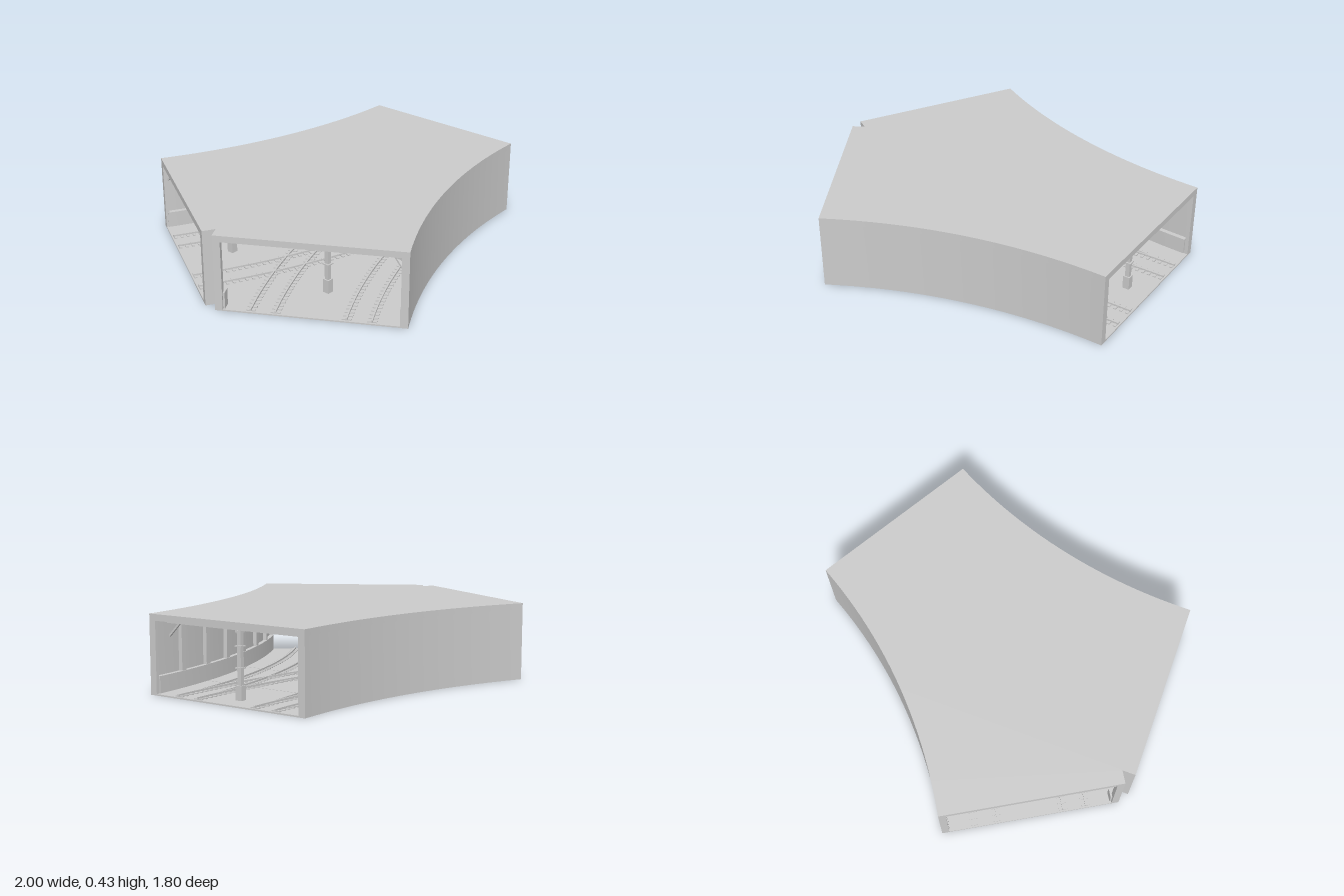
import * as THREE from 'three';
import { mergeGeometries, toCreasedNormals } from 'three/addons/utils/BufferGeometryUtils.js';

const H = 0.43, CEIL = 0.395, FLOOR = 0.008;
const END = Math.PI / 6;                  // each branch bends through 30 degrees
const APEX = Math.acos(3.5 / 4);          // where the two outer walls meet
const mat = new THREE.MeshStandardMaterial({ color: 0xcccccc });

// plan point on an arc of radius r around the branch centre; s picks the branch
const P = (r, a, s) => [1 - r * Math.sin(a), s * (3.5 - r * Math.cos(a))];
function arc(r, a0, a1, s, n = 32) {
  const pts = [];
  for (let i = 0; i <= n; i++) pts.push(P(r, a0 + (a1 - a0) * i / n, s));
  return pts;
}

// plan outline raised from y0 to y1
function slab(pts, y0, y1) {
  const shape = new THREE.Shape(pts.map(p => new THREE.Vector2(p[0], p[1])));
  const g = new THREE.ExtrudeGeometry(shape, { depth: y1 - y0, bevelEnabled: false });
  g.rotateX(Math.PI / 2).translate(0, y1, 0);
  return toCreasedNormals(g, 0.4);
}
const band = (r0, r1, a0, a1, s, y0, y1, n) =>
  slab([...arc(r0, a0, a1, s, n), ...arc(r1, a1, a0, s, n)], y0, y1);

function box(w, h, d, x, y, z, turn = 0) {
  return new THREE.BoxGeometry(w, h, d).rotateY(turn).translate(x, y, z);
}

export function createModel() {
  const model = new THREE.Group();
  const add = (name, geos) => {
    const list = [].concat(geos).map(g => (g.index ? g.toNonIndexed() : g));
    const mesh = new THREE.Mesh(mergeGeometries(list), mat);
    mesh.name = name;
    model.add(mesh);
  };

  // roof over the whole junction
  add('roof', slab([
    ...arc(3, 0, END, 1), ...arc(4, END, APEX, 1, 3),
    ...arc(4, APEX, END, -1, 3), ...arc(3, END, 0, -1)], CEIL, H));

  // floor in three sections with narrow joints
  const halfWidth = x => x >= -0.5
    ? 3.5 - Math.sqrt(9 - (1 - x) ** 2)
    : 0.036 + (x + 1) * Math.sqrt(3);
  const floorPiece = (x0, x1, notch) => {
    const edge = [];
    for (let i = 0; i <= 24; i++) {
      const x = x1 + (x0 - x1) * i / 24;
      edge.push([x, halfWidth(x)]);
    }
    const back = edge.map(p => [p[0], -p[1]]).reverse();
    return slab([...edge, ...(notch ? [[-0.936, 0]] : []), ...back], 0, FLOOR);
  };
  add('floor', [floorPiece(0.563, 1), floorPiece(0.103, 0.557), floorPiece(-1, 0.097, true)]);

  const walls = [], plinths = [], pilasters = [], frames = [], rails = [], chairs = [];
  for (const s of [1, -1]) {
    // curved side wall with plinth, pilasters and portal jambs
    walls.push(band(3, 3.018, 0, END, s, 0, CEIL + 0.002));
    plinths.push(band(3.016, 3.044, 0.008, END - 0.004, s, 0, 0.1));
    for (let i = 1; i < 7; i++) {
      const a = END * i / 7;
      pilasters.push(band(3.016, 3.04, a - 0.006, a + 0.006, s, 0.1, CEIL, 1));
    }
    for (const a of [0, END - 0.007])
      frames.push(band(3.0, 3.04, a, a + 0.007, s, 0, CEIL, 1));

    // short outer wall beside the notch, with its jamb and base block
    walls.push(band(3.99, 4, APEX - 0.002, END, s, 0, CEIL + 0.002, 3));
    frames.push(band(3.96, 4, END - 0.008, END, s, 0, CEIL, 1));
    plinths.push(band(3.95, 3.995, END - 0.016, END - 0.003, s, 0, 0.1, 1));

    // two curved tracks per branch, rails seated on chairs
    for (const track of [3.25, 3.75])
      for (const side of [-0.065, 0.065]) {
        const r = track + side;
        rails.push(band(r - 0.004, r + 0.004, 0.002, END - 0.002, s, 0.012, 0.023, 32));
        const n = Math.round(r * END / 0.036);
        for (let i = 0; i < n; i++) {
          const a = END * (i + 0.5) / n;
          const [x, z] = P(r, a, s);
          chairs.push(box(0.015, 0.013, 0.05, x, 0.0075, z, s * a));
        }
      }
  }
  add('walls', walls);
  add('wallPlinths', plinths);
  add('wallPilasters', pilasters);
  add('portalJambs', frames);
  add('rails', rails);
  add('railChairs', chairs);

  // ceiling beams across the tunnel, with diagonal struts at the walls
  const beams = [], struts = [];
  const strut = (x, z, dir, y, len) => struts.push(
    new THREE.BoxGeometry(0.012, 0.01, len)
      .rotateX(-dir * Math.PI / 4).translate(x, y, z));
  for (const x of [0.87, 0.53, 0.19, -0.15, -0.485]) {
    const w = halfWidth(x) - 0.015;
    beams.push(box(0.03, 0.027, 2 * w, x, CEIL - 0.0125, 0));
    for (const s of [1, -1]) strut(x, s * (w - 0.045), -s, 0.335, 0.1);
  }
  add('ceilingBeams', beams);

  // free-standing columns with base, collars and head
  const columns = [];
  for (const [x, z] of [[0.87, 0], [-0.485, 0.357], [-0.485, -0.357]]) {
    columns.push(
      box(0.038, 0.08, 0.038, x, 0.045, z),
      box(0.024, 0.31, 0.024, x, 0.225, z),
      box(0.04, 0.007, 0.04, x, 0.175, z),
      box(0.04, 0.007, 0.04, x, 0.288, z),
      box(0.036, 0.012, 0.036, x, 0.364, z));
    if (z) for (const d of [1, -1]) strut(x, z + d * 0.04, d, 0.348, 0.07);
  }
  add('columns', columns);
  add('diagonalStruts', struts);

  return model;
}
